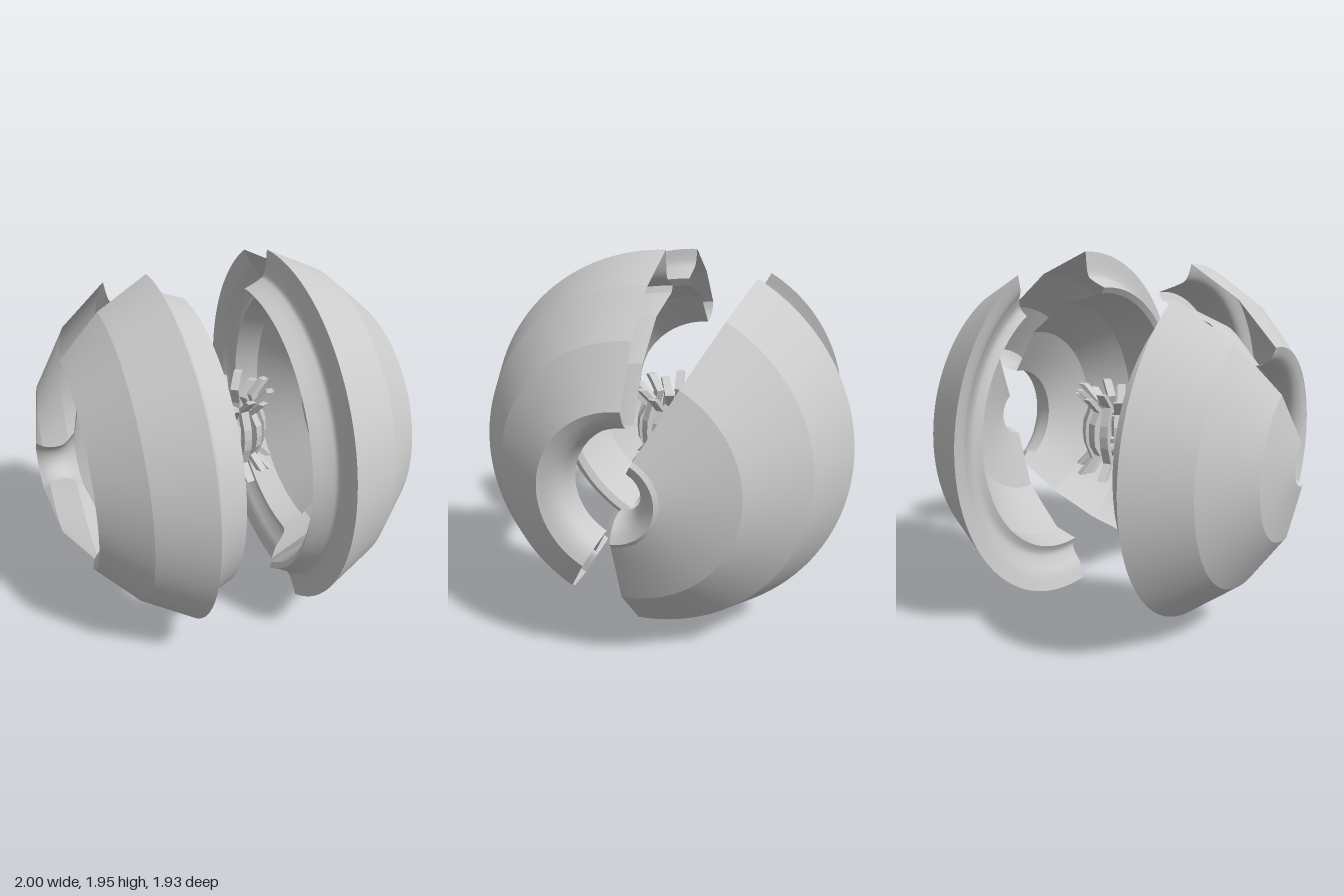
import * as THREE from 'three';
import { mergeGeometries } from 'three/addons/utils/BufferGeometryUtils.js';

const grey = new THREE.MeshStandardMaterial({ color: 0xcccccc, side: THREE.DoubleSide });
const V = (p) => new THREE.Vector2(p[1], p[0]); // [x, radius] -> lathe point

// Partial turn about the x axis: 'flat' strips keep hard bands, 'round' ones are smooth
function shell(name, { outer, hole, inner, rim }, y, z, start) {
  const strips = [];
  for (const line of [outer, inner])
    for (let i = 1; i < line.length; i++) strips.push([V(line[i - 1]), V(line[i])]);
  for (const curve of [hole, rim])
    strips.push(new THREE.SplineCurve(curve.map(V)).getPoints(14));
  const parts = strips.map((s) => new THREE.LatheGeometry(s, 80, start, Math.PI * 5 / 6));
  const geometry = mergeGeometries(parts);
  geometry.rotateZ(-Math.PI / 2);
  const mesh = new THREE.Mesh(geometry, grey);
  mesh.name = name;
  mesh.position.set(0, y, z);
  return mesh;
}

// Square-section strip following [radius, y] points, flaring at both tips
function ribGeometry(path, width, thick) {
  const shape = new THREE.Shape();
  const side = (s) => path.map(([r, y]) => [r + s * thick / 2, y]);
  const loop = [...side(1), ...side(-1).reverse()];
  loop.forEach(([r, y], i) => (i ? shape.lineTo(r, y) : shape.moveTo(r, y)));
  const g = new THREE.ExtrudeGeometry(shape, { depth: width, bevelEnabled: false });
  return g.translate(0, 0, -width / 2);
}

function cage() {
  const group = new THREE.Group();
  group.name = 'coreCage';
  group.position.set(0.03, 1.0, -0.01);
  const add = (name, g) => {
    const m = new THREE.Mesh(g, grey);
    m.name = name;
    group.add(m);
    return m;
  };

  // Ring of ribs bowed outward, with splayed tips
  const count = 16;
  for (let i = 0; i < count; i++) {
    const h = i % 2 ? 0.2 : 0.235;
    const path = [[0.225, h], [0.15, h - 0.08], [0.185, 0.06], [0.19, 0],
      [0.185, -0.06], [0.15, 0.08 - h], [0.225, -h]];
    add('coreRib', ribGeometry(path, 0.046, 0.035)).rotation.y = (i + 0.35) / count * Math.PI * 2;
  }

  // Stepped hub with spokes
  for (const [r, h, y] of [[0.05, 0.2, 0], [0.09, 0.025, -0.1], [0.09, 0.025, -0.05], [0.07, 0.03, 0.07]])
    add('coreHub', new THREE.CylinderGeometry(r, r, h, 16).translate(0, y, 0));
  for (let i = 0; i < 8; i++) {
    const spoke = new THREE.BoxGeometry(0.14, 0.02, 0.025).translate(0.1, -0.075, 0);
    add('coreSpoke', spoke).rotation.y = (i + 0.175) / 8 * Math.PI * 2;
  }
  return group;
}

export function createModel() {
  const model = new THREE.Group();
  const front = -Math.PI / 2, back = Math.PI / 2;

  // Each hollow shell: faceted outer and inner skins joined by a hole wall and a rim
  model.add(shell('frontLeftShell', {
    outer: [[0.24, 0.985], [0.53, 0.86], [0.77, 0.665], [0.93, 0.405]],
    hole: [[0.93, 0.405], [0.905, 0.35], [0.86, 0.31], [0.76, 0.29]],
    inner: [[0.76, 0.29], [0.62, 0.53], [0.4, 0.7], [0.14, 0.77], [0.12, 0.8]],
    rim: [[0.12, 0.8], [0.195, 0.835], [0.228, 0.87], [0.24, 0.985]],
  }, 0.96, -0.02, front));

  model.add(shell('backLeftShell', {
    outer: [[0.32, 0.985], [0.635, 0.825], [0.87, 0.55], [0.985, 0.22], [1, 0.2]],
    hole: [[1, 0.2], [0.97, 0.15], [0.91, 0.115], [0.85, 0.11], [0.8, 0.13]],
    inner: [[0.8, 0.13], [0.72, 0.46], [0.52, 0.7], [0.38, 0.74]],
    rim: [[0.38, 0.74], [0.4, 0.79], [0.375, 0.85], [0.345, 0.9], [0.32, 0.985]],
  }, 0.985, 0.02, back));

  model.add(shell('frontRightShell', {
    outer: [[-0.39, 0.93], [-0.64, 0.775], [-0.84, 0.56]],
    hole: [[-0.84, 0.56], [-0.82, 0.51], [-0.78, 0.475], [-0.7, 0.46]],
    inner: [[-0.7, 0.46], [-0.5, 0.65], [-0.23, 0.75], [-0.21, 0.79]],
    rim: [[-0.21, 0.79], [-0.32, 0.83], [-0.365, 0.86], [-0.39, 0.93]],
  }, 0.96, -0.02, front));

  model.add(shell('backRightShell', {
    outer: [[-0.51, 0.89], [-0.76, 0.685], [-0.94, 0.41], [-1, 0.125]],
    hole: [[-1, 0.125], [-0.96, 0.1], [-0.91, 0.09], [-0.86, 0.1], [-0.8, 0.15]],
    inner: [[-0.8, 0.15], [-0.7, 0.47], [-0.52, 0.64], [-0.39, 0.7], [-0.39, 0.74]],
    rim: [[-0.39, 0.74], [-0.47, 0.765], [-0.5, 0.8], [-0.51, 0.89]],
  }, 0.985, 0.02, back));

  model.add(cage());
  return model;
}
